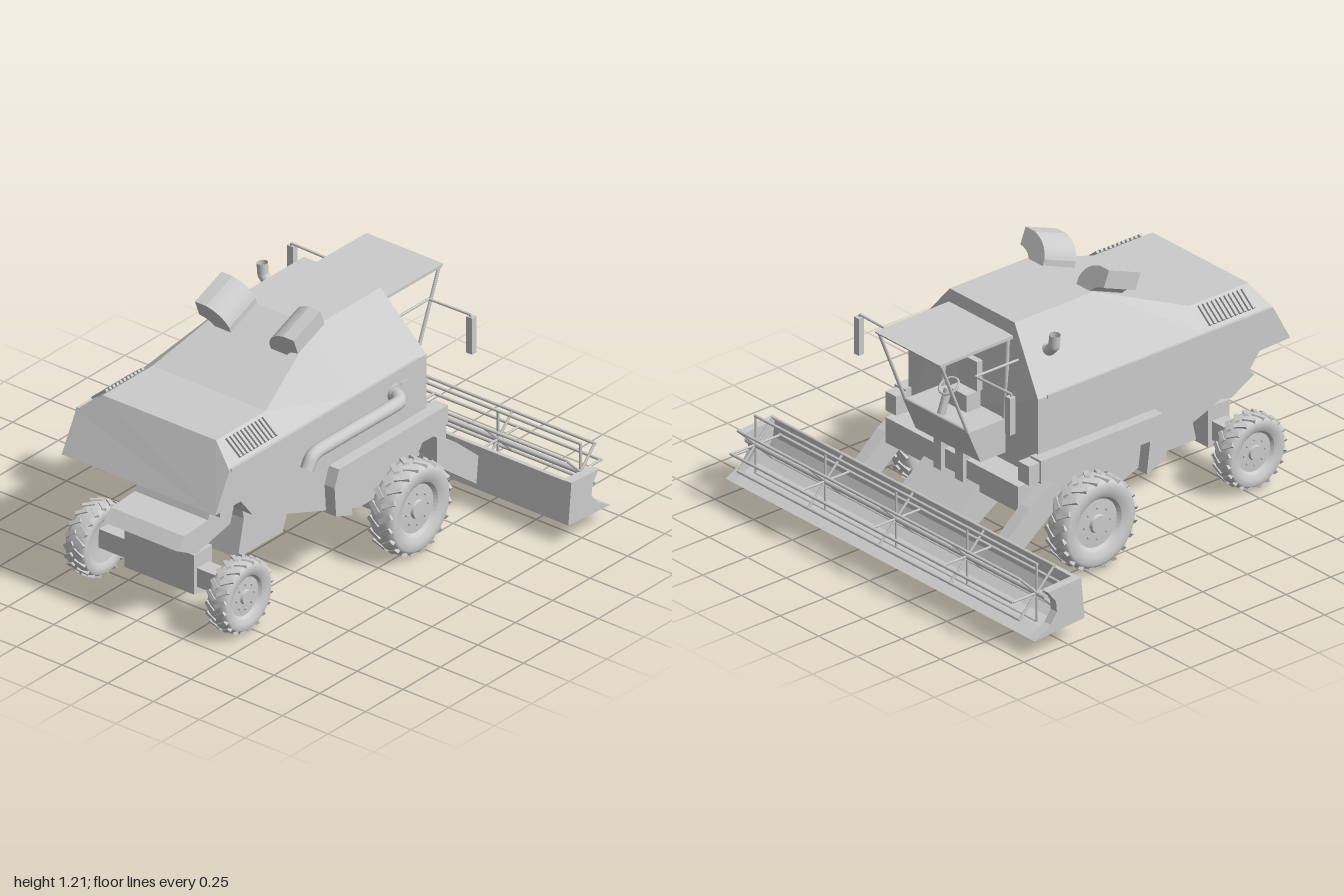
import * as THREE from 'three';

const mat = new THREE.MeshStandardMaterial({ color: 0xcccccc, side: THREE.DoubleSide });
const flat = new THREE.MeshStandardMaterial({ color: 0xcccccc, flatShading: true, side: THREE.DoubleSide });
const V = (x, y, z) => new THREE.Vector3(x, y, z);

export function createModel() {
  const model = new THREE.Group();
  model.name = 'combineHarvester';

  const add = (name, geo, parent = model, m = flat) => {
    const mesh = new THREE.Mesh(geo, m);
    mesh.name = name;
    parent.add(mesh);
    return mesh;
  };
  const box = (name, x0, x1, y0, y1, z0, z1, parent) =>
    add(name, new THREE.BoxGeometry(x1 - x0, y1 - y0, z1 - z0)
      .translate((x0 + x1) / 2, (y0 + y1) / 2, (z0 + z1) / 2), parent);
  // Side profile of [z, y] points, extruded across x
  const prism = (name, pts, x, w, parent) => {
    const shape = new THREE.Shape(pts.map(p => new THREE.Vector2(...p)));
    const g = new THREE.ExtrudeGeometry(shape, { depth: w, bevelEnabled: false });
    return add(name, g.translate(0, 0, -w / 2).rotateY(-Math.PI / 2).translate(x, 0, 0), parent);
  };
  const rod = (name, a, b, r, parent, sides = 8) => {
    const d = b.clone().sub(a);
    const m = add(name, new THREE.CylinderGeometry(r, r, d.length(), sides), parent, mat);
    m.position.copy(a).addScaledVector(d, 0.5);
    m.quaternion.setFromUnitVectors(V(0, 1, 0), d.normalize());
    return m;
  };
  const tube = (name, pts, r) => {
    const path = new THREE.CatmullRomCurve3(pts, false, 'catmullrom', 0.2);
    return add(name, new THREE.TubeGeometry(path, 40, r, 12), model, mat);
  };

  // Hull: mirrored six-sided rings of [x, y, z] from tail to nose
  const rings = [
    [[0.42, 0.655, 0.99], [0.42, 0.83, 0.895], [0.31, 0.92, 0.85]],
    [[0.42, 0.65, 0.82], [0.42, 0.83, 0.82], [0.31, 0.92, 0.8]],
    [[0.42, 0.55, 0.74], [0.42, 0.83, 0.74], [0.31, 0.92, 0.74]],
    [[0.42, 0.46, 0.52], [0.42, 0.83, 0.52], [0.31, 0.92, 0.52]],
    [[0.42, 0.28, 0.03], [0.42, 0.83, 0.07], [0.21, 1.1, 0.07]],
    [[0.42, 0.28, -0.3], [0.42, 0.83, -0.3], [0.21, 1.1, -0.3]],
    [[0.42, 0.45, -0.42], [0.42, 0.83, -0.42], [0.21, 1.1, -0.37]],
  ].map(h => [...h, ...h.map(([x, y, z]) => [-x, y, z]).reverse()]);
  const idx = [], n = 6, last = (rings.length - 1) * n;
  for (let s = 0; s < rings.length - 1; s++) {
    for (let j = 0; j < n; j++) {
      const a = s * n + j, b = s * n + (j + 1) % n;
      idx.push(a, a + n, b, b, a + n, b + n);
    }
  }
  for (let j = 1; j < n - 1; j++) idx.push(0, j, j + 1, last, last + j + 1, last + j);
  const hull = new THREE.BufferGeometry();
  hull.setAttribute('position', new THREE.Float32BufferAttribute(rings.flat(2), 3));
  hull.setIndex(idx);
  const hullGeo = hull.toNonIndexed();
  hullGeo.computeVertexNormals();
  add('hull', hullGeo);

  // Side trim, skirts, louvres, lamps, mirrors and header arms on both sides
  for (const s of [-1, 1]) {
    const side = new THREE.Group();
    side.name = s < 0 ? 'rightSideParts' : 'leftSideParts';
    model.add(side);
    prism('trimStrip', [[0.89, 0.822], [0.885, 0.836], [-0.37, 0.836], [-0.37, 0.822]], s * 0.42, 0.014, side);
    prism('wheelSkirt', [[0.23, 0.57], [-0.45, 0.57], [-0.45, 0.46], [0.16, 0.46], [0.14, 0.31],
      [0.25, 0.35], [0.26, 0.49]], s * 0.44, 0.07, side);
    for (let i = 0; i < 11; i++) {
      const slat = add('louvreSlat', new THREE.BoxGeometry(0.1, 0.012, 0.014), side);
      slat.position.set(s * 0.367, 0.885, 0.56 + i * 0.024);
      slat.rotation.z = -s * 0.69;
    }
    box('tailLamp', s * 0.31 - 0.03, s * 0.31 + 0.03, 0.56, 0.59, 0.77, 0.86, side);
    box('workLamp', s * 0.43 - 0.035, s * 0.43 + 0.035, 0.47, 0.56, -0.51, -0.44, side);
    prism('headerArm', [[-0.4, 0.46], [-0.53, 0.38], [-0.68, 0.25], [-0.68, 0.11], [-0.4, 0.32]], s * 0.465, 0.06, side);
    const m = [V(s * 0.26, 0.95, -0.39), V(s * 0.26, 0.95, -0.63), V(s * 0.49, 0.955, -0.63), V(s * 0.49, 0.86, -0.63)];
    for (let i = 0; i < 3; i++) rod('mirrorArm', m[i], m[i + 1], 0.006, side);
    box('mirror', s * 0.49 - 0.016, s * 0.49 + 0.016, 0.77, 0.945, -0.65, -0.62, side);

    // Curved roof duct, leaning with the sloped deck
    const duct = new THREE.Shape();
    duct.moveTo(-0.08, -0.05);
    duct.lineTo(0, -0.05);
    duct.quadraticCurveTo(0, 0.02, 0.08, 0.03);
    duct.lineTo(0.08, 0.11);
    duct.lineTo(0.02, 0.11);
    duct.quadraticCurveTo(-0.06, 0.09, -0.08, 0.02);
    const dg = new THREE.ExtrudeGeometry(duct, { depth: 0.19, bevelEnabled: false, curveSegments: 8 });
    dg.translate(0, 0, -0.095);
    if (s < 0) dg.rotateY(Math.PI);
    const d = add('roofDuct', dg, side);
    d.position.set(s * 0.19, 1.075, 0.155);
    d.rotation.x = 0.37;
  }

  // Open cab with tub, roof, pillars and controls
  prism('cabTub', [[-0.4, 0.66], [-0.63, 0.66], [-0.56, 0.5], [-0.4, 0.5]], 0, 0.42);
  prism('cabRoof', [[-0.37, 1.04], [-0.79, 1.035], [-0.78, 1.022], [-0.37, 1.025]], 0, 0.42);
  for (const s of [-1, 1]) {
    rod('frontPillar', V(s * 0.2, 0.66, -0.625), V(s * 0.2, 1.03, -0.775), 0.008);
    rod('rearPillar', V(s * 0.2, 0.6, -0.42), V(s * 0.2, 1.03, -0.4), 0.01);
    box('cabLeg', s * 0.07 - 0.025, s * 0.07 + 0.025, 0.36, 0.51, -0.56, -0.49);
  }
  rod('windowSill', V(-0.2, 0.665, -0.625), V(0.2, 0.665, -0.625), 0.008);
  box('seatBase', -0.06, 0.06, 0.66, 0.74, -0.51, -0.43);
  box('seatBack', -0.06, 0.06, 0.74, 0.88, -0.45, -0.42);
  rod('steeringColumn', V(0, 0.66, -0.6), V(0, 0.77, -0.56), 0.018);
  const wheelRim = add('steeringWheel', new THREE.TorusGeometry(0.045, 0.006, 6, 20), model, mat);
  wheelRim.position.set(0, 0.78, -0.555);
  wheelRim.rotation.x = Math.PI / 2 - 0.55;

  // Exhausts and side cap
  tube('sidePipe', [V(0.4, 0.74, -0.19), V(0.45, 0.74, -0.19), V(0.495, 0.74, -0.14),
    V(0.495, 0.74, 0.1), V(0.495, 0.74, 0.39), V(0.495, 0.725, 0.44), V(0.495, 0.68, 0.47)], 0.031);
  rod('pipeFlange', V(0.41, 0.74, -0.2), V(0.435, 0.74, -0.2), 0.04, model, 16);
  rod('sideCap', V(0.41, 0.74, -0.265), V(0.43, 0.74, -0.265), 0.035, model, 6);
  tube('exhaustStack', [V(-0.28, 0.97, -0.27), V(-0.32, 0.98, -0.27), V(-0.35, 1.01, -0.27), V(-0.355, 1.065, -0.27)], 0.025);

  // Straw hood and chopper under the tail
  prism('strawHood', [[0.98, 0.4], [0.93, 0.45], [0.77, 0.46], [0.73, 0.55], [0.58, 0.52],
    [0.62, 0.38], [0.85, 0.33]], 0, 0.4);
  prism('chopper', [[0.6, 0.5], [0.58, 0.4], [0.62, 0.225], [0.32, 0.225], [0.26, 0.38]], 0, 0.48);

  // Axles
  box('rearAxleBox', -0.19, 0.19, 0.13, 0.32, 0.73, 0.85);
  box('rearAxle', -0.36, 0.36, 0.16, 0.25, 0.75, 0.83);
  box('frontAxle', -0.46, 0.46, 0.17, 0.28, -0.26, -0.14);
  box('frontCrossBeam', -0.43, 0.43, 0.34, 0.46, -0.54, -0.42);

  // Wheels: turned tyre and dished rim with chevron lugs
  const wheel = (name, x, z, R, w) => {
    const g = new THREE.Group();
    g.name = name;
    g.position.set(x, R + 0.005, z);
    if (x < 0) g.rotation.y = Math.PI;
    model.add(g);
    const h = w / 2, r = R - 0.008;
    const tyre = [[0.58 * R, -h * 0.8], [0.7 * R, -h], [0.85 * R, -h], [0.95 * r, -h * 0.85], [r, -h * 0.5],
      [r, h * 0.5], [0.95 * r, h * 0.85], [0.85 * R, h], [0.7 * R, h], [0.58 * R, h * 0.8]];
    const turn = pts => new THREE.LatheGeometry(pts.map(p => new THREE.Vector2(...p)), 40).rotateZ(-Math.PI / 2);
    add('tyre', turn(tyre), g, mat);
    add('rim', turn([[0.001, -h * 0.6], [0.58 * R, -h * 0.8], [0.58 * R, h * 0.8], [0.52 * R, h * 0.55],
      [0.2 * R, h * 0.6], [0.18 * R, h * 0.8], [0.001, h * 0.8]]), g);
    for (let i = 0; i < 8; i++) {
      const b = i * Math.PI / 4, y = Math.cos(b) * 0.34 * R, zz = Math.sin(b) * 0.34 * R;
      rod('wheelBolt', V(h * 0.5, y, zz), V(h * 0.72, y, zz), 0.006, g, 6);
    }
    const count = 20;
    for (let i = 0; i < count; i++) for (const s of [-1, 1]) {
      const pivot = new THREE.Group();
      pivot.rotation.x = (i + (s > 0 ? 0.5 : 0)) / count * Math.PI * 2;
      g.add(pivot);
      const lug = add('treadLug', new THREE.BoxGeometry(w * 0.5, 0.016, R * 0.11), pivot);
      lug.position.set(s * h * 0.48, R - 0.011, 0);
      lug.rotation.set(0, s * 0.6, -s * 0.12);
    }
  };
  for (const s of [-1, 1]) {
    wheel(s < 0 ? 'frontRightWheel' : 'frontLeftWheel', s * 0.51, -0.2, 0.215, 0.13);
    wheel(s < 0 ? 'rearRightWheel' : 'rearLeftWheel', s * 0.388, 0.79, 0.172, 0.11);
  }

  // Feeder house and cutting header
  prism('feederHouse', [[-0.36, 0.46], [-0.45, 0.44], [-0.7, 0.25], [-0.69, 0.1], [-0.36, 0.31]], 0, 0.36);
  prism('headerTrough', [[-0.68, 0.295], [-0.66, 0.1], [-0.94, 0.08], [-0.87, 0.108], [-0.8, 0.125],
    [-0.74, 0.165], [-0.71, 0.22], [-0.7, 0.295]], 0, 1.96);
  for (const s of [-1, 1]) {
    prism('headerCheek', [[-0.68, 0.297], [-0.865, 0.287], [-0.82, 0.23], [-0.815, 0.18], [-0.85, 0.13],
      [-0.94, 0.08], [-0.66, 0.1]], s * 0.98, 0.04);
  }

  // Reel: eight bats on five spoked stars
  const reel = new THREE.Group();
  reel.name = 'reel';
  reel.position.set(0, 0.247, -0.85);
  model.add(reel);
  rod('reelShaft', V(-0.97, 0, 0), V(0.97, 0, 0), 0.012, reel);
  for (let i = 0; i < 8; i++) {
    const a = i * Math.PI / 4, y = Math.cos(a) * 0.136, z = Math.sin(a) * 0.136;
    rod('reelBat', V(-0.915, y, z), V(0.915, y, z), 0.007, reel);
    for (const x of [-0.91, -0.46, 0, 0.46, 0.91]) rod('reelSpoke', V(x, 0, 0), V(x, y, z), 0.006, reel, 6);
  }
  return model;
}
